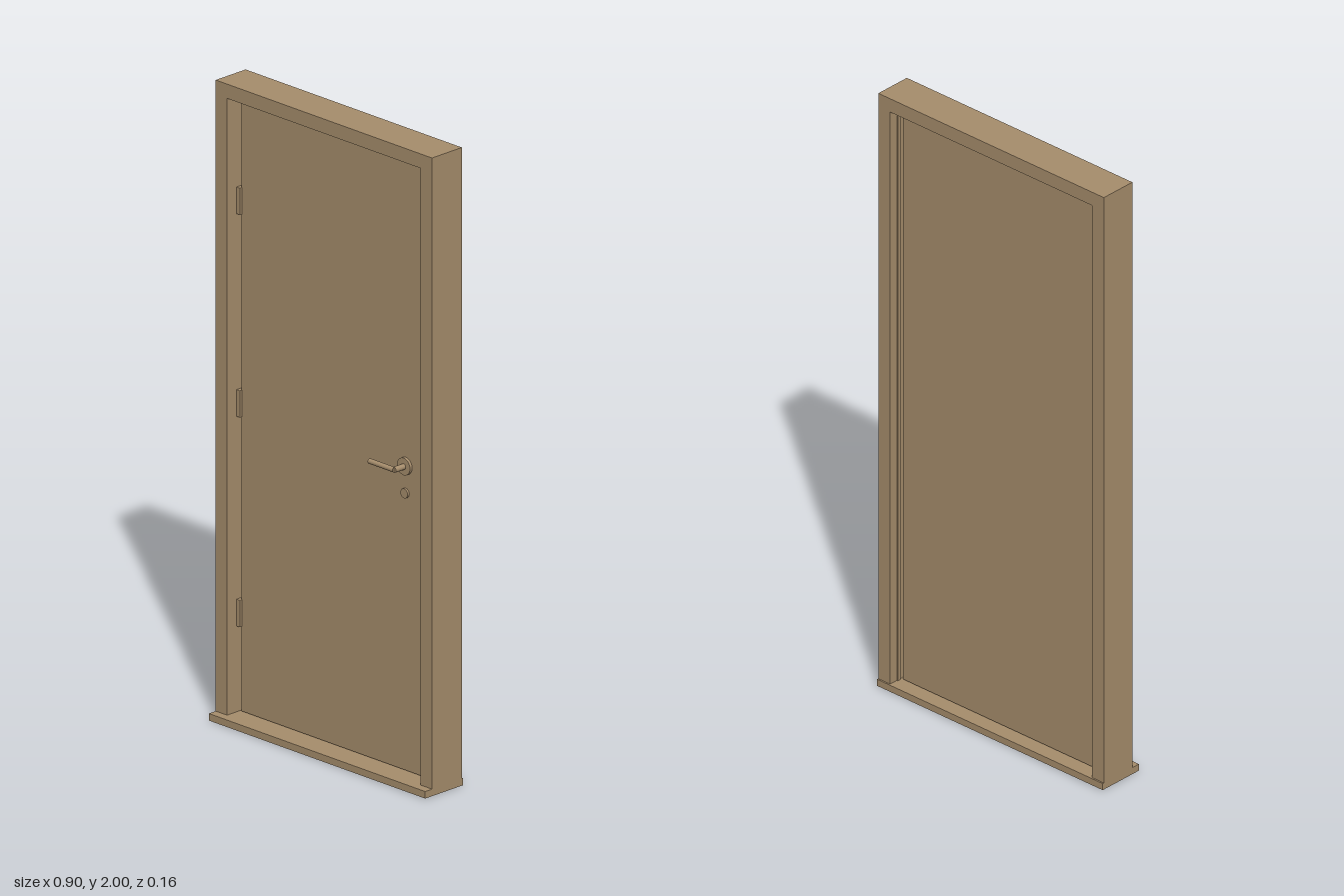
import * as THREE from 'three';

export function createModel() {
  const door = new THREE.Group();
  door.name = 'framedDoor';
  const tan = new THREE.MeshStandardMaterial({ color: 0xa68d6c });
  tan.name = 'tan';

  const add = (name, geometry, x = 0, y = 0, z = 0, parent = door) => {
    const mesh = new THREE.Mesh(geometry, tan);
    mesh.name = name;
    mesh.position.set(x, y, z);
    parent.add(mesh);
    return mesh;
  };
  // Box given by its limits on each axis
  const block = (name, x0, x1, y0, y1, z0, z1, parent = door) =>
    add(name, new THREE.BoxGeometry(x1 - x0, y1 - y0, z1 - z0),
      (x0 + x1) / 2, (y0 + y1) / 2, (z0 + z1) / 2, parent);
  // Round plate or pin pointing forwards
  const disc = (name, r, x, y, z0, z1, parent) =>
    add(name, new THREE.CylinderGeometry(r, r, z1 - z0, 32).rotateX(Math.PI / 2),
      x, y, (z0 + z1) / 2, parent);

  // Frame: two jambs and a head in one piece, standing on the sill
  const W = 0.45, IN = 0.403, TOP = 1.955, SILL = 0.022;
  const outline = new THREE.Shape([
    [-W, SILL], [-IN, SILL], [-IN, TOP], [IN, TOP],
    [IN, SILL], [W, SILL], [W, 2], [-W, 2],
  ].map(([x, y]) => new THREE.Vector2(x, y)));
  add('frame', new THREE.ExtrudeGeometry(outline, { depth: 0.123, bevelEnabled: false }), 0, 0, -0.074);
  block('sill', -W, W, 0, SILL, -0.079, 0.077);

  // Slim seals on the inner jamb faces
  for (const s of [-1, 1]) {
    add('seal', new THREE.BoxGeometry(0.004, TOP - SILL, 0.012), s * (IN - 0.002), (TOP + SILL) / 2, -0.039);
  }

  // Door leaf, with a gap around it
  block('leaf', -0.391, 0.391, 0.026, 1.945, -0.032, 0.002);

  // Hinges
  for (const y of [0.333, 0.99, 1.625]) block('hinge', -0.404, -0.389, y - 0.042, y + 0.042, -0.008, 0.01);

  // Lever handle and keyhole plate
  const handle = new THREE.Group();
  handle.name = 'handle';
  door.add(handle);
  const hx = 0.293, hy = 0.98;
  disc('rose', 0.027, hx, hy, 0.001, 0.011, handle);
  disc('neck', 0.009, hx, hy, 0.01, 0.05, handle);
  add('lever', new THREE.CylinderGeometry(0.008, 0.008, 0.103, 24).rotateZ(Math.PI / 2),
    hx - 0.0515, hy, 0.049, handle);
  disc('keyholePlate', 0.015, hx, 0.895, 0.001, 0.009, door);

  return door;
}
